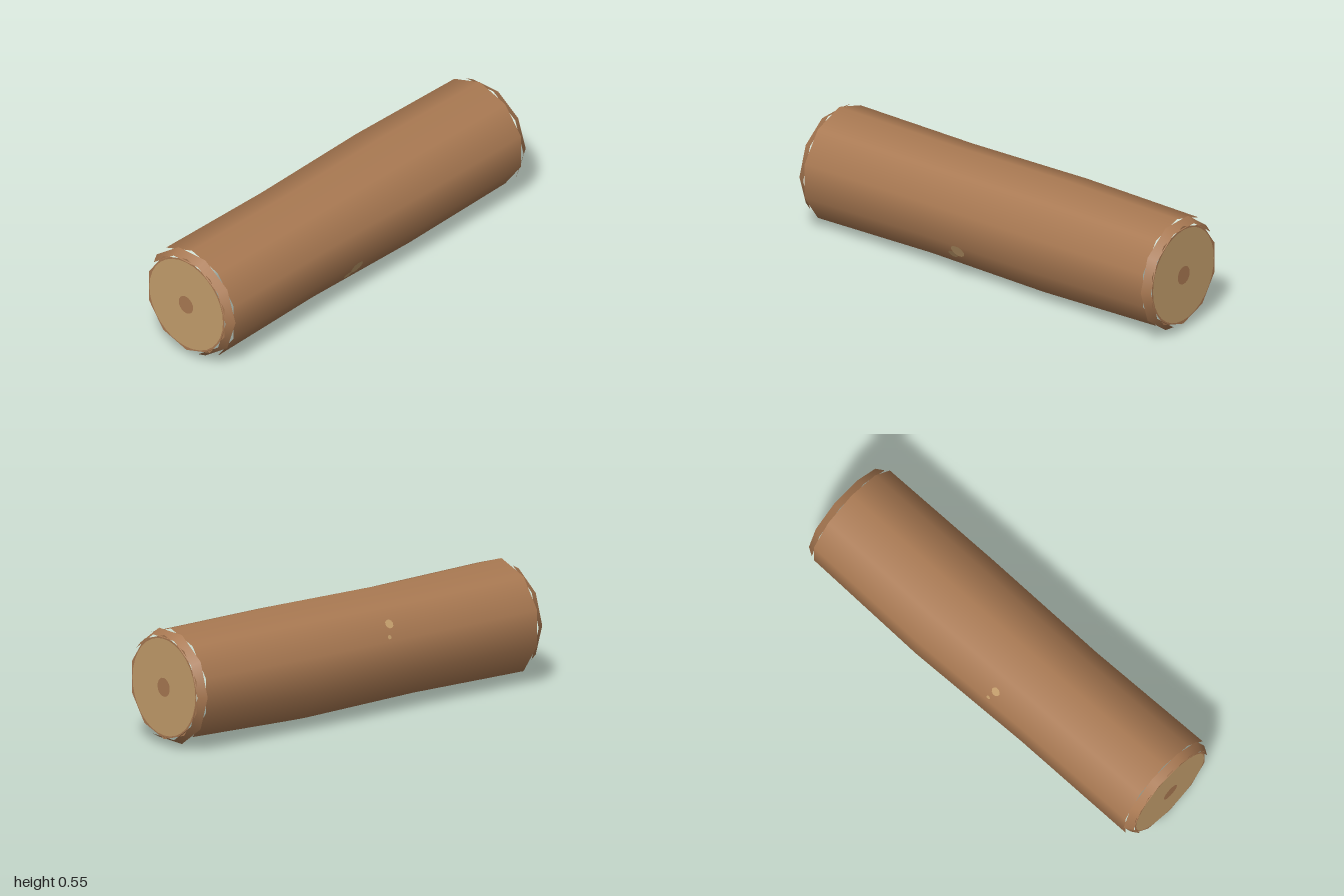
import * as THREE from 'three';

const CENTER_Y = 0.277;

export function createModel() {
  const log = new THREE.Group();
  log.name = 'log';
  const bark = new THREE.MeshStandardMaterial({ color: 0xa97952 });
  bark.name = 'bark brown';
  const wood = new THREE.MeshStandardMaterial({ color: 0xc49e6c });
  wood.name = 'cut wood tan';

  const add = (parent, name, geometry, material) => {
    const mesh = new THREE.Mesh(geometry, material);
    mesh.name = name;
    parent.add(mesh);
    return mesh;
  };

  // Bark: open ten-sided tube, slightly warped at four stations.
  // Each station, front to back: centre x, centre y, radius x, radius y
  const stations = [
    [0, 0.275, 0.270, 0.274],
    [-0.005, 0.276, 0.263, 0.265],
    [-0.008, 0.276, 0.274, 0.275],
    [-0.002, 0.283, 0.266, 0.263],
  ];
  const tube = new THREE.CylinderGeometry(1, 1, 1.92, 10, 3, true).rotateX(-Math.PI / 2);
  const pos = tube.attributes.position;
  for (let i = 0; i < pos.count; i++) {
    const [cx, cy, rx, ry] = stations[Math.round((0.96 - pos.getZ(i)) / 0.64)];
    pos.setXY(i, cx + pos.getX(i) * rx, cy + pos.getY(i) * ry);
  }
  add(log, 'barkBody', tube, bark);

  // Two identical sawn ends
  for (const side of ['front', 'back']) {
    const end = new THREE.Group();
    end.name = side + 'End';
    end.position.y = CENTER_Y;
    if (side === 'back') end.rotation.y = Math.PI;

    const bevel = new THREE.CylinderGeometry(0.244, 0.268, 0.04, 10, 1, true, Math.PI / 10);
    add(end, 'barkBevel', bevel.rotateX(Math.PI / 2), bark).position.z = 0.98;
    add(end, 'barkCap', new THREE.CircleGeometry(0.244, 10, Math.PI / 10), bark).position.z = 0.996;
    add(end, 'cutFace', new THREE.CircleGeometry(0.226, 32), wood).position.z = 0.998;
    add(end, 'pith', new THREE.CircleGeometry(0.044, 20), bark).position.z = 1;
    log.add(end);
  }

  // Small bare knots on the bark: angle round the log, z, radius
  const knots = [
    [-26, 0.11, 0.036],
    [-34, 0.15, 0.024],
    [145, 0.13, 0.022],
    [158, 0.11, 0.01],
  ];
  for (const [degrees, z, radius] of knots) {
    const a = THREE.MathUtils.degToRad(degrees);
    const knot = add(log, 'knot', new THREE.CircleGeometry(radius, 10), wood);
    knot.position.set(Math.cos(a) * 0.264 - 0.006, CENTER_Y + Math.sin(a) * 0.264, z);
    knot.lookAt(knot.position.x + Math.cos(a), knot.position.y + Math.sin(a), z);
  }
  return log;
}
